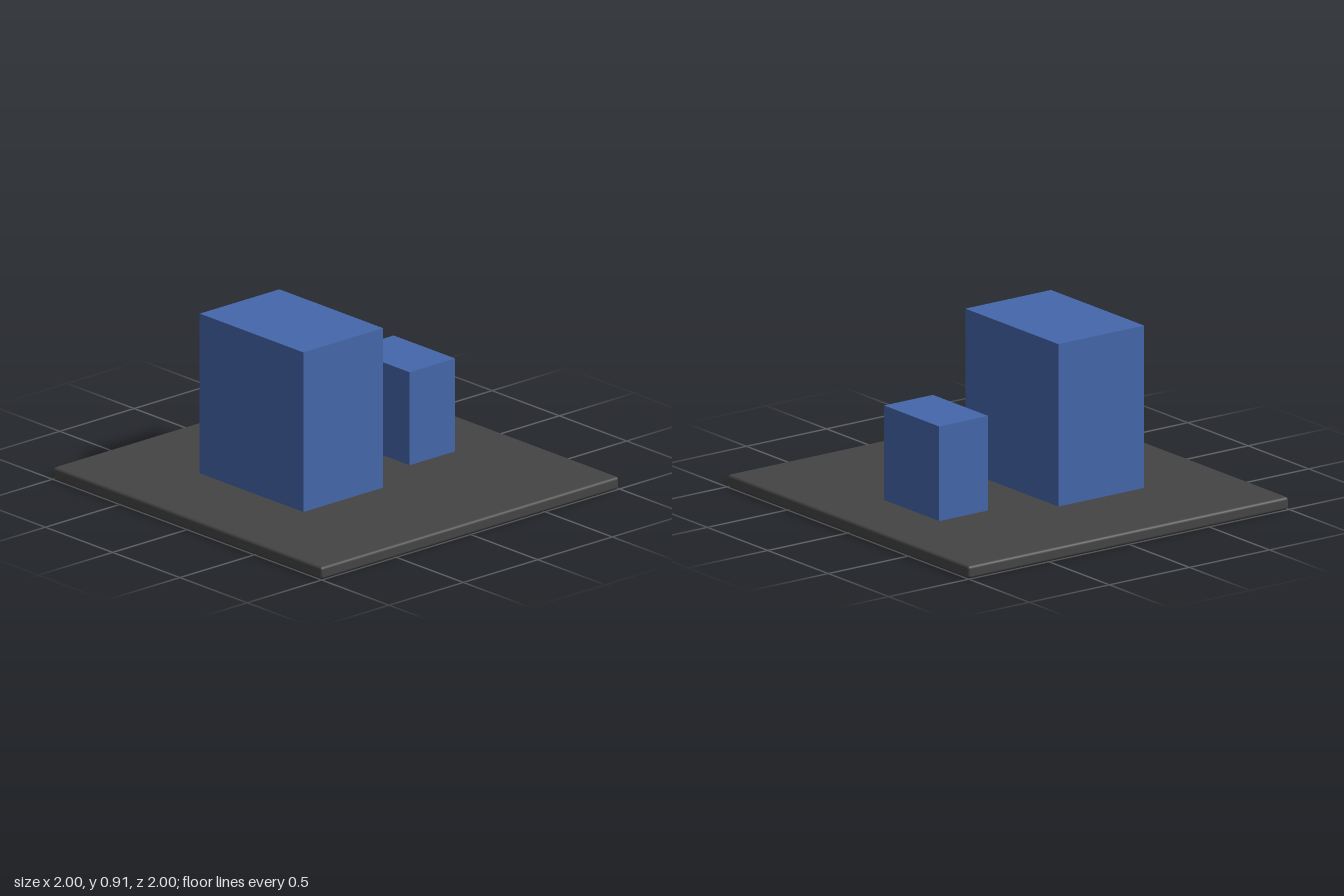
import * as THREE from 'three';
import { RoundedBoxGeometry } from 'three/addons/geometries/RoundedBoxGeometry.js';

const BASE_HEIGHT = 0.065;

export function createModel() {
  const model = new THREE.Group();
  model.name = 'blocksOnBase';

  const baseMaterial = new THREE.MeshStandardMaterial({ color: 0x444444 });
  const blockMaterial = new THREE.MeshStandardMaterial({ color: 0x4466aa });

  // Thin square slab with softened edges
  const base = new THREE.Mesh(new RoundedBoxGeometry(2, BASE_HEIGHT, 2, 3, 0.015), baseMaterial);
  base.name = 'base';
  base.position.y = BASE_HEIGHT / 2;
  model.add(base);

  // Sharp-edged block standing on the slab
  function addBlock(name, width, top, depth, x, z) {
    const height = top - BASE_HEIGHT;
    const block = new THREE.Mesh(new THREE.BoxGeometry(width, height, depth), blockMaterial);
    block.name = name;
    block.position.set(x, BASE_HEIGHT + height / 2, z);
    model.add(block);
  }

  addBlock('largeBlock', 0.535, 0.91, 0.77, -0.25, -0.055);
  addBlock('smallBlock', 0.305, 0.557, 0.456, 0.49, -0.054);

  return model;
}
